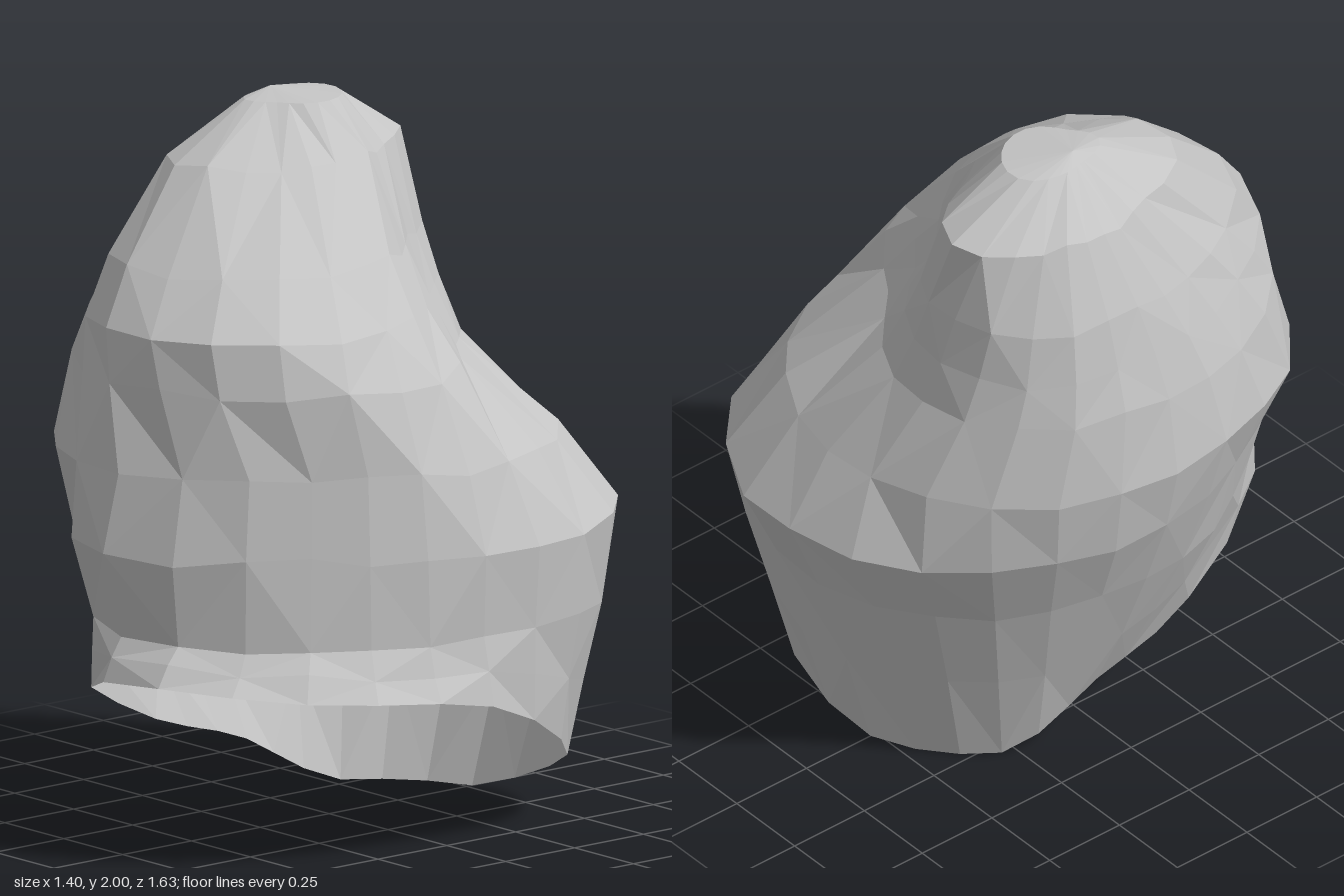
import * as THREE from 'three';

const SIDES = 24;

// Profiles from top to rim: [y, centre x, centre z] and the radii
// towards +x, +x+z, +z, -x+z, -x, -x-z, -z, +x-z
const RINGS = [
  { c: [1.98, -0.30, -0.08], r: [0.16, 0.12, 0.13, 0.07, 0.06, 0.09, 0.16, 0.17] },
  { c: [1.84, -0.28, -0.10], r: [0.27, 0.34, 0.42, 0.26, 0.23, 0.26, 0.36, 0.26] },
  { c: [1.60, -0.20, -0.05], r: [0.40, 0.58, 0.62, 0.45, 0.39, 0.45, 0.43, 0.31] },
  { c: [1.46, -0.15, -0.02], r: [0.49, 0.71, 0.70, 0.54, 0.48, 0.53, 0.47, 0.36] },
  { c: [1.32, -0.10, 0.00], r: [0.58, 0.69, 0.71, 0.63, 0.57, 0.61, 0.52, 0.42] },
  { c: [1.08, 0, 0], r: [0.60, 0.61, 0.77, 0.76, 0.70, 0.72, 0.68, 0.63] },
  { c: [0.86, 0, 0], r: [0.67, 0.63, 0.82, 0.67, 0.66, 0.71, 0.82, 0.79] },
  { c: [0.62, 0, 0], r: [0.66, 0.66, 0.76, 0.61, 0.57, 0.61, 0.71, 0.76] },
  { c: [0, 0, 0], r: [0.70, 0.77, 0.82, 0.48, 0.35, 0.41, 0.52, 0.66] },
];
// Slanted height of the open rim in the same eight directions
const RIM_Y = [0.43, 0.49, 0.5, 0.26, 0.15, 0.0, 0.0, 0.18];

// Smooth periodic lookup in a table of eight directions
function around(table, t) {
  const n = table.length, i = Math.floor(t), f = t - i;
  const [a, b, c, d] = [-1, 0, 1, 2].map((k) => table[(i + k + n) % n]);
  return b + 0.5 * f * (c - a + f * (2 * a - 5 * b + 4 * c - d + f * (3 * (b - c) + d - a)));
}

function makeRandom(seed) {
  return () => {
    seed = (seed * 16807) % 2147483647;
    return seed / 2147483647 - 0.5;
  };
}

function buildShell() {
  const random = makeRandom(71);
  const loops = RINGS.map(({ c, r }, k) => {
    const loop = [];
    for (let j = 0; j < SIDES; j++) {
      const angle = (j / SIDES) * Math.PI * 2;
      const t = (j / SIDES) * 8;
      const radius = around(r, t);
      const y = k === RINGS.length - 1 ? Math.max(0, around(RIM_Y, t)) : c[0];
      loop.push(new THREE.Vector3(c[1] + Math.cos(angle) * radius, y, c[2] + Math.sin(angle) * radius));
    }
    return loop;
  });

  // Extra loop between the lowest belt and the rim
  const last = loops.length - 1;
  loops.splice(last, 0, loops[last - 1].map((p, j) => p.clone().lerp(loops[last][j], 0.5)));

  // Slight irregularity for a chipped stone surface
  loops.slice(1, -1).flat().forEach((p) => {
    const chip = 0.995 + random() * 0.016;
    p.x *= chip;
    p.y += random() * 0.03;
    p.z *= chip;
  });

  const points = [new THREE.Vector3(-0.32, 2, -0.06), ...loops.flat()];
  const index = [];
  const id = (k, j) => 1 + k * SIDES + (j % SIDES);
  for (let j = 0; j < SIDES; j++) {
    index.push(0, id(0, j + 1), id(0, j));
    for (let k = 0; k < loops.length - 1; k++) {
      const a = id(k, j), b = id(k, j + 1), c = id(k + 1, j), d = id(k + 1, j + 1);
      // Alternate diagonals so facets do not line up
      if ((j + k) % 2) index.push(a, b, c, b, d, c);
      else index.push(a, b, d, a, d, c);
    }
  }

  const geometry = new THREE.BufferGeometry().setFromPoints(points);
  geometry.setIndex(index);
  const flat = geometry.toNonIndexed();
  flat.computeVertexNormals();
  return flat;
}

export function createModel() {
  const stone = new THREE.MeshStandardMaterial({ color: 0xc4c4c4, flatShading: true, side: THREE.DoubleSide });
  stone.name = 'stone grey';

  // Hollow boulder, open underneath
  const boulder = new THREE.Mesh(buildShell(), stone);
  boulder.name = 'boulder';

  const group = new THREE.Group();
  group.name = 'rock';
  group.add(boulder);
  return group;
}
